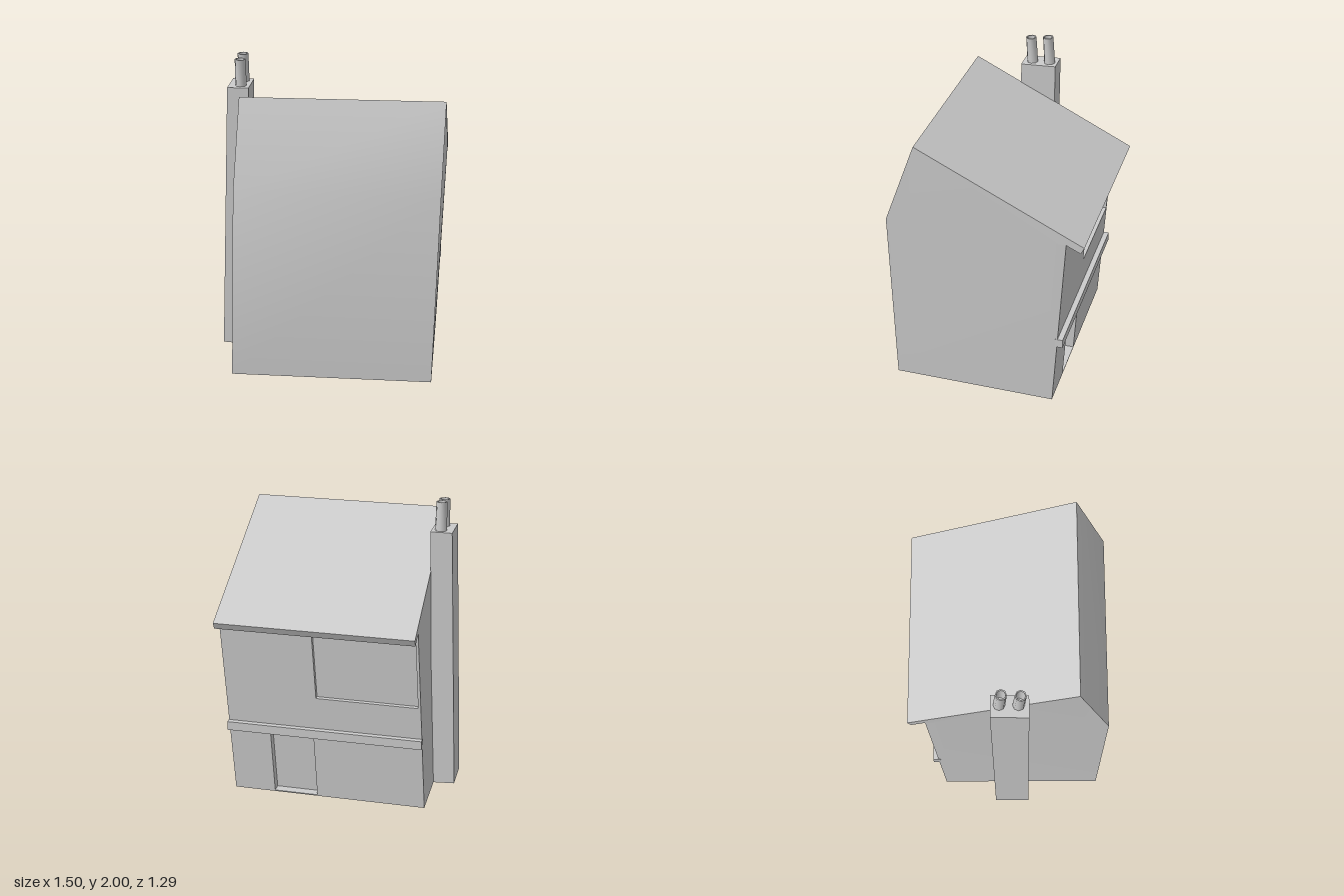
import * as THREE from 'three';
import { toCreasedNormals } from 'three/addons/utils/BufferGeometryUtils.js';

const material = new THREE.MeshStandardMaterial({ color: 0xcccccc });
const LEFT = -0.557, RIGHT = 0.747, LEAN = -0.05;
const EAVE = 1.28, RECESS = 0.06;

// z of the outer face of the leaning back wall
const wallZ = (y) => -0.445 - 0.085 * y / EAVE;

function toShape(points) {
  return new THREE.Shape(points.map(([a, b]) => new THREE.Vector2(a, b)));
}

// Move every vertex of a geometry by a rule
function warp(geometry, rule) {
  const p = geometry.attributes.position;
  for (let i = 0; i < p.count; i++) p.setXYZ(i, ...rule(p.getX(i), p.getY(i), p.getZ(i)));
  return toCreasedNormals(geometry, 0.6);
}

function extrude(shape, depth) {
  return new THREE.ExtrudeGeometry(shape, { depth, bevelEnabled: false });
}

function part(name, geometry) {
  const mesh = new THREE.Mesh(geometry, material);
  mesh.name = name;
  return mesh;
}

// Slab parallel to the back wall, from depth d0 to d1 behind its face
function wallSlab(shape, d0, d1) {
  return warp(extrude(shape, d1 - d0), (x, y, z) => [x, y, wallZ(y) + d0 + z]);
}

export function createModel() {
  const model = new THREE.Group();
  model.name = 'house';

  // Body and roof: side profile (z, y) swept across the width, base shifted sideways
  const profile = toShape([
    [0.64, 0], [0.65, 1.25], [0.44, 1.815], [-0.645, 1.28], [-0.623, 1.235],
    [wallZ(EAVE), EAVE], [wallZ(EAVE) + RECESS, EAVE], [wallZ(0) + RECESS, 0],
  ]);
  model.add(part('bodyAndRoof', warp(extrude(profile, 1), (z, y, d) => {
    const shift = y < 0.01 ? LEAN : z > 0.6 ? -0.015 : 0;
    return [THREE.MathUtils.lerp(RIGHT, LEFT, d) + shift, y, z];
  })));

  // Back wall with door and window openings
  const wall = toShape([
    [LEFT + LEAN, 0], [RIGHT + LEAN, 0], [RIGHT, EAVE], [LEFT, EAVE],
  ]);
  const door = [[0.125, 0.008], [0.42, 0.008], [0.435, 0.465], [0.14, 0.465]];
  const pane = [[-0.56, 0.75], [0.115, 0.75], [0.135, 1.25], [-0.54, 1.25]];
  wall.holes.push(toShape(door), toShape(pane));
  model.add(part('backWall', wallSlab(wall, 0, RECESS)));
  model.add(part('window', wallSlab(toShape(pane), 0.03, RECESS)));

  // Ledge between the storeys
  const ledge = new THREE.BoxGeometry(1.31, 0.06, 0.05);
  ledge.translate(0.065, 0.495, -0.49);
  model.add(part('ledge', ledge));

  // Leaning chimney stack
  const stack = warp(new THREE.BoxGeometry(1, 1, 1), (x, y, z) => y < 0
    ? [x < 0 ? -0.75 : -0.59, x < 0 ? 0.01 : 0, z < 0 ? -0.085 : 0.15]
    : [x < 0 ? -0.688 : -0.547, z < 0 ? 1.813 : 1.802, z < 0 ? -0.108 : 0.13]);
  model.add(part('chimneyStack', stack));

  // Hollow eight-sided chimney pots
  const potProfile = [[0.038, -0.02], [0.036, 0.19], [0.028, 0.19], [0.028, 0.06], [0, 0.06]]
    .map(([r, y]) => new THREE.Vector2(r, y));
  const potGeometry = toCreasedNormals(new THREE.LatheGeometry(potProfile, 8), 0.9);
  [[1.793, 0.065], [1.808, -0.053]].forEach(([y, z], i) => {
    const pot = part('chimneyPot' + (i + 1), potGeometry);
    pot.position.set(-0.607, y, z);
    pot.rotation.x = 0.065;
    model.add(pot);
  });

  return model;
}
